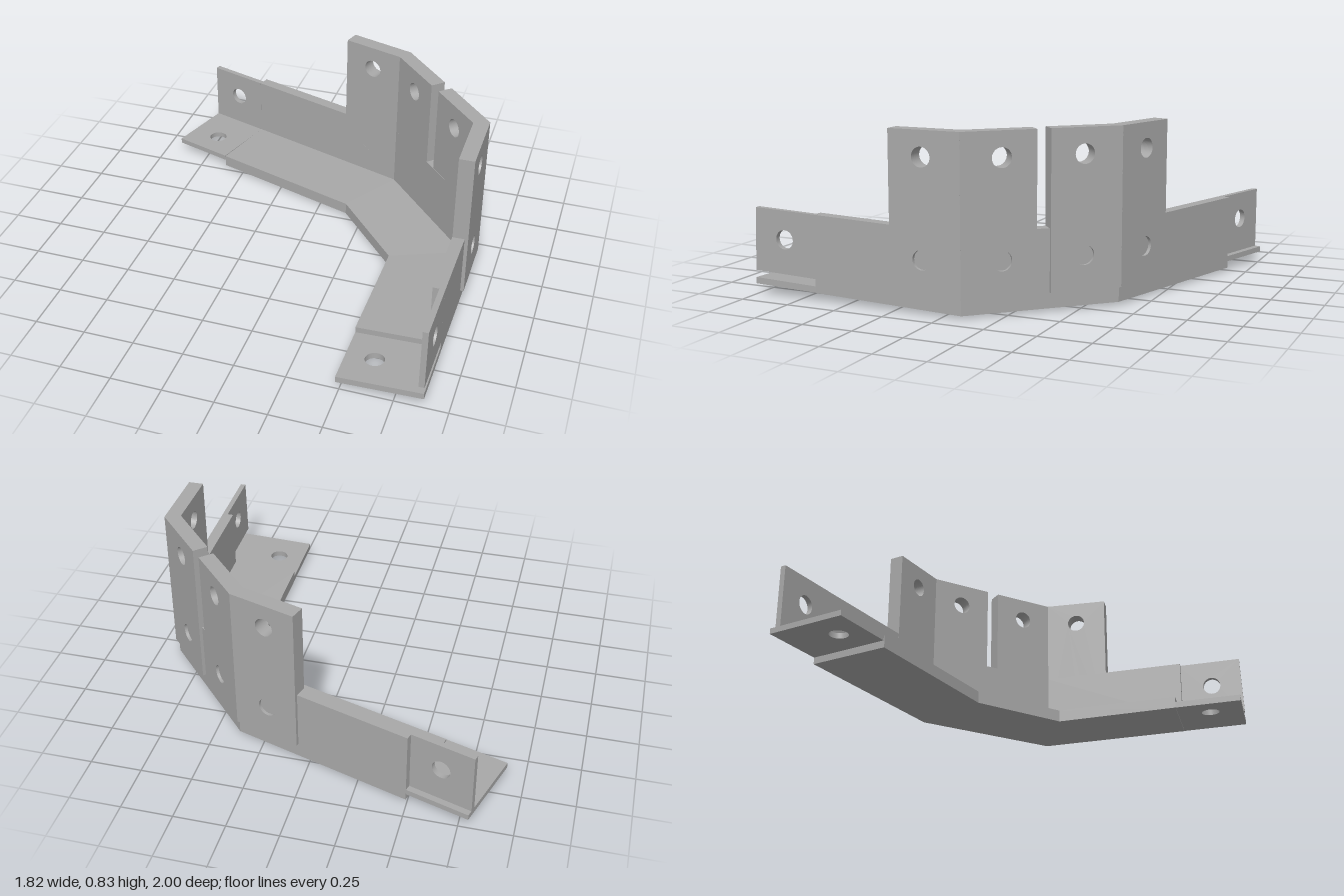
import * as THREE from 'three';

const steel = new THREE.MeshStandardMaterial({ color: 0xa8a8a8 });
steel.name = 'steel grey';
const V3 = (x, y, z) => new THREE.Vector3(x, y, z);

// Rectangular plate with round holes, placed by origin and two edge directions.
// m0 / m1 mitre its two ends so that neighbouring plates meet at a bend.
function plate(name, origin, u, v, w, h, t, holes, m0 = 0, m1 = 0) {
  const shape = new THREE.Shape([[0, 0], [w, 0], [w, h], [0, h]].map(p => new THREE.Vector2(...p)));
  for (const [x, y] of holes) {
    const hole = new THREE.Path();
    hole.absarc(x, y, 0.046, 0, Math.PI * 2, true);
    shape.holes.push(hole);
  }
  const geo = new THREE.ExtrudeGeometry(shape, { depth: t, bevelEnabled: false, curveSegments: 32 });
  const pos = geo.attributes.position;
  for (let i = 0; i < pos.count; i++) {
    const x = pos.getX(i), z = pos.getZ(i);
    if (x < 1e-4) pos.setX(i, x - m0 * z);
    else if (x > w - 1e-4) pos.setX(i, x + m1 * z);
  }
  const U = u.clone().normalize();
  const N = U.clone().cross(v).normalize();
  const V = N.clone().cross(U);
  geo.applyMatrix4(new THREE.Matrix4().makeBasis(U, V, N).setPosition(origin));
  geo.computeVertexNormals();
  const mesh = new THREE.Mesh(geo, steel);
  mesh.name = name;
  return mesh;
}

// L-section rail lofted through stations:
// floor edge, wall inner face and outer face as [x, z], then bottom y at floor edge and outer face, wall top y
function rail() {
  const stations = [
    [[-0.609, -0.522], [-0.511, -0.853], [-0.494, -0.907], 0.015, 0.015, 0.38],
    [[0.16, -0.285], [0.345, -0.585], [0.38, -0.637], 0.013, 0.015, 0.38],
    [[0.485, 0.065], [0.83, -0.065], [0.89, -0.088], 0.0, 0.012, 0.382],
    [[0.482, 0.67], [0.828, 0.67], [0.886, 0.67], 0.025, 0.038, 0.407],
  ];
  const floor = 0.06;
  const loops = stations.map(([e, w, o, ye, yo, top]) => {
    const yw = ye + (yo - ye) * 0.86;
    return [
      [e[0], ye, e[1]], [o[0], yo, o[1]], [o[0], top, o[1]],
      [w[0], top, w[1]], [w[0], yw + floor, w[1]], [e[0], ye + floor, e[1]],
    ];
  });
  const out = [];
  const tri = (a, b, c) => out.push(...a, ...b, ...c);
  for (let s = 0; s < loops.length - 1; s++) {
    const a = loops[s], b = loops[s + 1];
    for (let i = 0; i < 6; i++) {
      const j = (i + 1) % 6;
      tri(a[i], a[j], b[j]);
      tri(a[i], b[j], b[i]);
    }
  }
  const first = loops[0], last = loops[loops.length - 1];
  for (const [i, j, k] of [[0, 1, 4], [0, 4, 5], [1, 2, 3], [1, 3, 4]]) {
    tri(first[i], first[k], first[j]);
    tri(last[i], last[j], last[k]);
  }
  const geo = new THREE.BufferGeometry();
  geo.setAttribute('position', new THREE.Float32BufferAttribute(out, 3));
  geo.computeVertexNormals();
  const mesh = new THREE.Mesh(geo, steel);
  mesh.name = 'angleRail';
  return mesh;
}

export function createModel() {
  const g = new THREE.Group();
  g.name = 'cornerBracket';
  const up = V3(0, 1, 0);
  g.add(rail());

  // Thin lap joint at the end of the long leg
  const along = V3(0.955, 0, 0.296), across = V3(-0.296, 0, 0.955);
  g.add(plate('longLegFloorTab', V3(-0.795, 0.075, -1), along, across, 0.315, 0.4, 0.027, [[0.16, 0.264]]));
  g.add(plate('longLegWallTab', V3(-0.804, 0.075, -0.971), along, up, 0.315, 0.305, 0.027, [[0.16, 0.17]]));

  // Slotted lap joint at the end of the slightly tilted front leg
  const ahead = V3(-0.003, 0.036, 1), side = V3(1, 0.035, 0);
  g.add(plate('frontLegFloorTab', V3(0.482, 0.055, 0.67), side, ahead, 0.404, 0.33, 0.03, [[0.138, 0.165]]));
  const tabUp = V3(0, 1, -0.036);
  g.add(plate('frontLegWallTab', V3(0.886, 0.104, 0.67), ahead, tabUp, 0.33, 0.303, 0.027, [[0.17, 0.165]]));

  // Two bent mounting plates on the outside of the bends
  const k1 = 0.266, k2 = 0.394, bottom = 0.087, top = 0.83;
  const wings = [
    ['rearPlateOuterWing', [0.345, -0.585], [0.04, -0.68], k1, 0],
    ['rearPlateInnerWing', [0.565, -0.35], [0.345, -0.585], 0, k1],
    ['sidePlateInnerWing', [0.83, -0.065], [0.61, -0.303], k2, 0],
    ['sidePlateOuterWing', [0.83, 0.26], [0.83, -0.065], 0, k2],
  ];
  for (const [name, a, b, m0, m1] of wings) {
    const dir = V3(b[0] - a[0], 0, b[1] - a[1]);
    const w = dir.length();
    const holes = [0.25, 0.71].map(y => [w / 2, y - bottom]);
    g.add(plate(name, V3(a[0], bottom, a[1]), dir, up, w, top - bottom, 0.075, holes, m0, m1));
  }
  return g;
}
